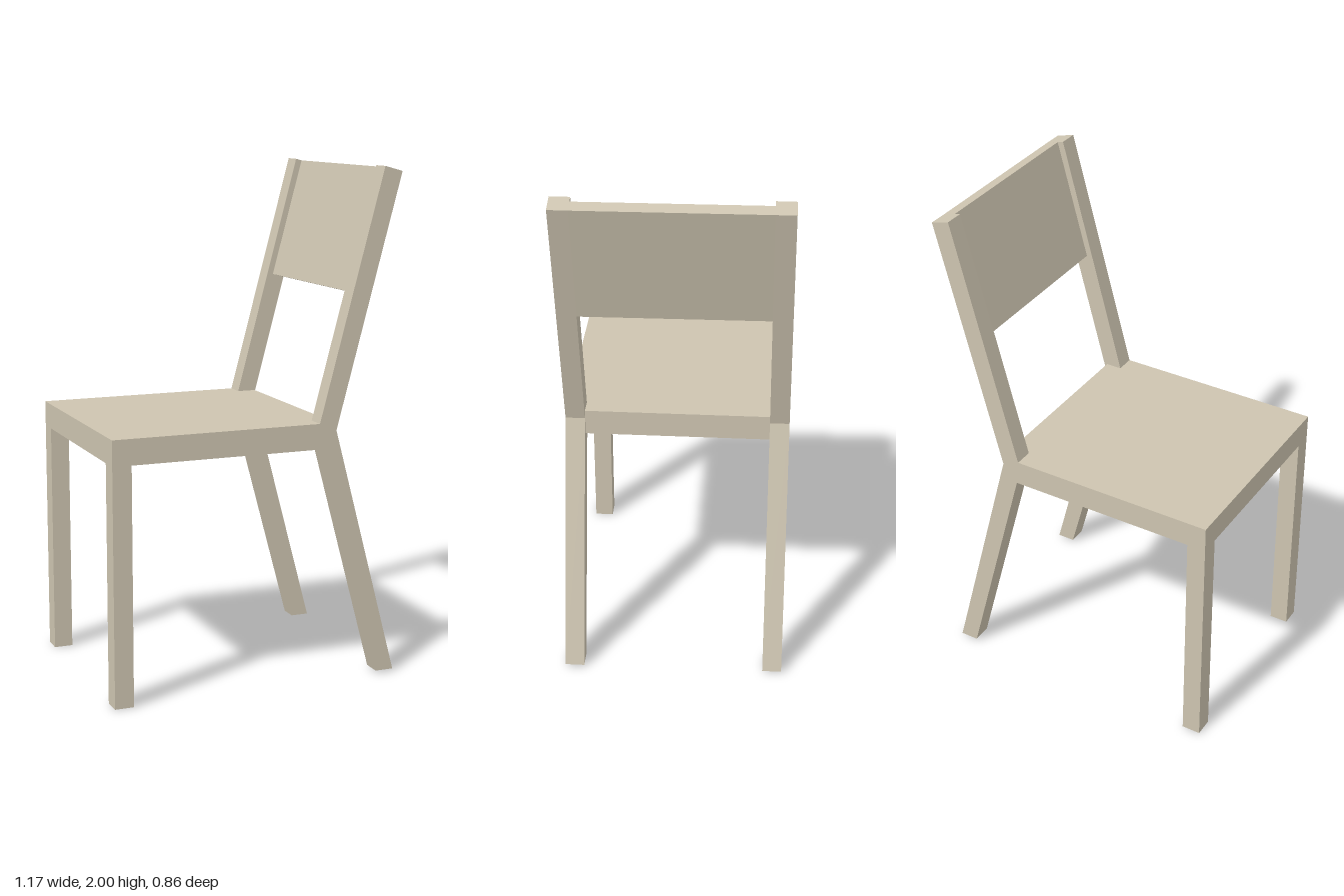
import * as THREE from 'three';

const material = new THREE.MeshStandardMaterial({ color: 0xcdc4b0, flatShading: true });
const INNER = 0.355; // inner face of the side frames
const OUTER = 0.43;  // outer face of the side frames
const SKEW = 0.01;   // the right frame's back leans slightly less far out

// Extrude an x/y outline between two z positions
function slab(name, points, z0, z1) {
  const shape = new THREE.Shape(points.map(([x, y]) => new THREE.Vector2(x, y)));
  const geometry = new THREE.ExtrudeGeometry(shape, { depth: z1 - z0, bevelEnabled: false });
  geometry.translate(0, 0, z0);
  const mesh = new THREE.Mesh(geometry, material);
  mesh.name = name;
  return mesh;
}

// One-piece side frame: front leg, seat rail, rear leg and back post
function sideFrame(name, z0, dx) {
  return slab(name, [
    [-0.585, 0], [-0.51, 0], [-0.51, 0.93], [0.26 - dx, 0.93],
    [0.508 - dx, 0.01], [0.582 - dx, 0.01], [0.32 - dx, 1.0],
    [0.583 - dx, 1.98], [0.51 - dx, 2.0], [0.25 - dx, 1.03], [-0.585, 1.03],
  ], z0, z0 + OUTER - INNER);
}

export function createModel() {
  const chair = new THREE.Group();
  chair.name = 'chair';

  chair.add(sideFrame('leftFrame', INNER, 0));
  chair.add(sideFrame('rightFrame', -OUTER, SKEW));

  // Seat panel, flush with the side rails
  chair.add(slab('seat', [
    [-0.585, 0.93], [0.315, 0.93], [0.315, 1.03], [-0.585, 1.03],
  ], -INNER, INNER));

  // Backrest, flush with the rear of the posts and set back from their front
  const backrest = slab('backrest', [
    [0.456, 1.508], [0.583, 1.98], [0.535, 1.993], [0.407, 1.521],
  ], -INNER, INNER);
  const position = backrest.geometry.attributes.position;
  for (let i = 0; i < position.count; i++) {
    const t = (INNER - position.getZ(i)) / (2 * INNER);
    position.setX(i, position.getX(i) - SKEW * t);
  }
  backrest.geometry.computeVertexNormals();
  chair.add(backrest);

  return chair;
}
